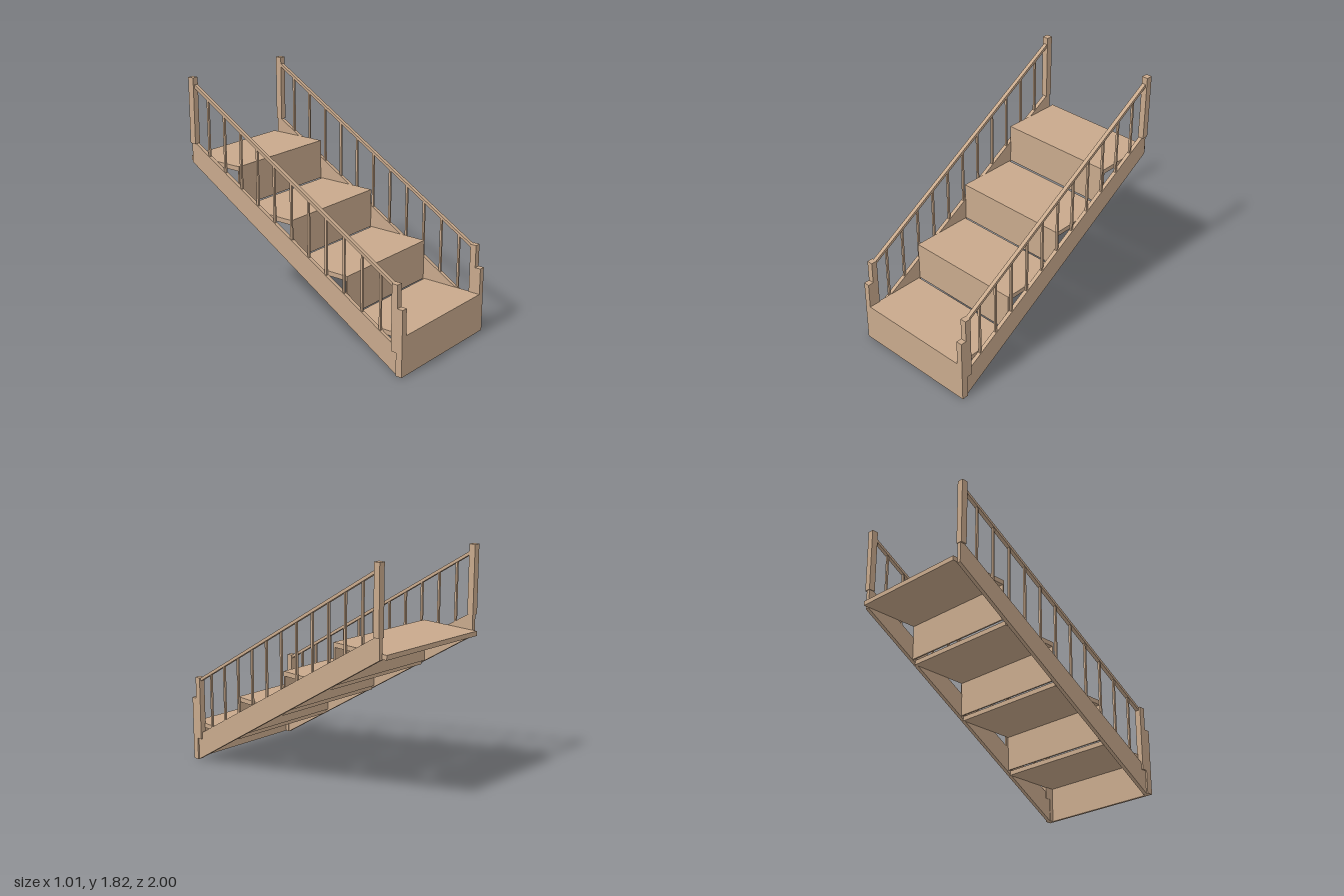
import * as THREE from 'three';

const wood = new THREE.MeshStandardMaterial({ color: 0xc8a98c });
wood.name = 'light wood';

export function createModel() {
  const model = new THREE.Group();
  model.name = 'staircase';

  const add = (name, geometry, parent) => {
    const mesh = new THREE.Mesh(geometry, wood);
    mesh.name = name;
    parent.add(mesh);
    return mesh;
  };

  // Box given by its limits on each axis
  const box = (name, x0, x1, y0, y1, z0, z1, parent = model) =>
    add(name, new THREE.BoxGeometry(x1 - x0, y1 - y0, z1 - z0), parent)
      .position.set((x0 + x1) / 2, (y0 + y1) / 2, (z0 + z1) / 2);

  // Side profile of [z, y] points, extruded from x0 to x1
  const profile = (name, points, x0, x1, parent) => {
    const shape = new THREE.Shape(points.map(([z, y]) => new THREE.Vector2(z, y)));
    const geometry = new THREE.ExtrudeGeometry(shape, { depth: x1 - x0, bevelEnabled: false });
    geometry.rotateY(-Math.PI / 2).translate(x1, 0, 0);
    add(name, geometry, parent);
  };

  // Treads with thin risers below their front edges
  const steps = [
    [0.265, 0.3, 0.505, 0.98],
    [0.57, 0.605, 0, 0.495],
    [0.87, 0.905, -0.497, -0.01],
    [1.175, 1.21, -1, -0.512],
  ];
  steps.forEach(([y0, y1, z0, z1], i) => {
    box('tread', -0.468, 0.468, y0, y1, z0, z1);
    if (i > 0) box('riser', -0.468, 0.468, steps[i - 1][1], y0, z1 - 0.012, z1);
  });
  box('frontRiser', -0.46, 0.46, 0, 0.3, 0.98, 1);

  const stringerTop = (z) => 0.23 + (0.905 - z) * 0.597;
  const railTop = (z) => 0.67 + (0.91 - z) * 0.601;

  for (const side of [1, -1]) {
    const rail = new THREE.Group();
    rail.name = side > 0 ? 'leftSide' : 'rightSide';
    model.add(rail);
    const span = (a, b) => (side > 0 ? [a, b] : [-b, -a]);
    const [s0, s1] = span(0.465, 0.495);
    const [p0, p1] = span(0.46, 0.507);
    const [b0, b1] = span(0.472, 0.488);

    // Sloping board carrying the steps
    profile('stringer', [
      [0.95, 0], [-0.96, 1.17], [-0.96, 1.32], [-0.92, 1.32],
      [0.905, 0.23], [0.905, 0.175], [0.95, 0.175],
    ], s0, s1, rail);

    // Stepped bottom post and plain top post
    profile('bottomPost', [
      [1, 0], [1, 0.5], [0.955, 0.5], [0.955, 0.672],
      [0.907, 0.672], [0.907, 0.175], [0.95, 0.175], [0.95, 0],
    ], p0, p1, rail);
    box('topPost', p0, p1, 1.32, 1.82, -0.965, -0.915, rail);

    // Handrail
    profile('handrail', [
      [0.91, railTop(0.91) - 0.025], [0.91, railTop(0.91)],
      [-0.92, railTop(-0.92)], [-0.92, railTop(-0.92) - 0.025],
    ], s0, s1, rail);

    // Balusters
    for (let i = -5; i <= 5; i++) {
      const z = i * 0.159;
      box('baluster', b0, b1, stringerTop(z) - 0.012, railTop(z) - 0.015, z - 0.008, z + 0.008, rail);
    }
  }
  return model;
}
